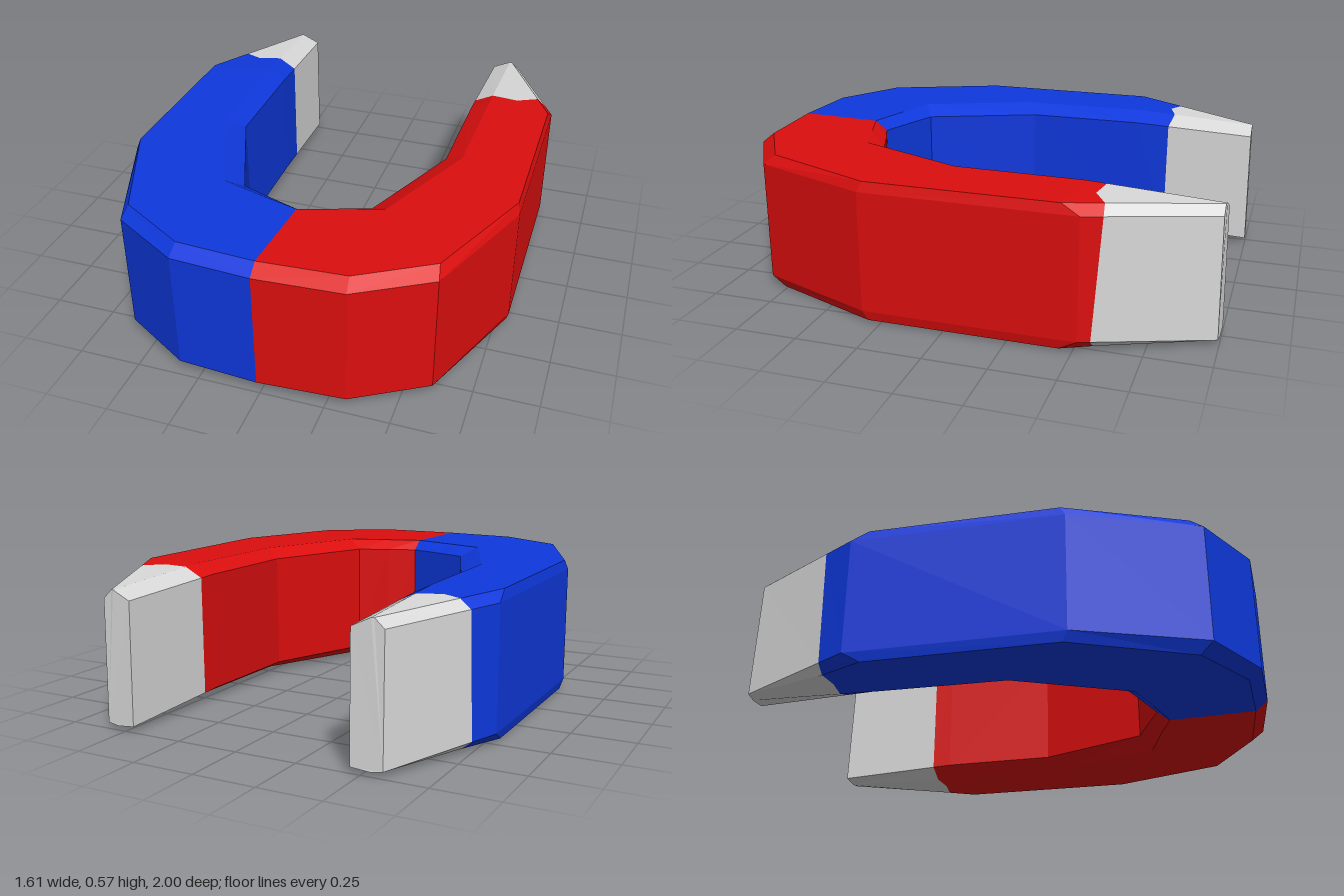
import * as THREE from 'three';

const red = new THREE.MeshStandardMaterial({ color: 0xdc0e0e, flatShading: true, name: 'red paint' });
const blue = new THREE.MeshStandardMaterial({ color: 0x0e38dc, flatShading: true, name: 'blue paint' });
const steel = new THREE.MeshStandardMaterial({ color: 0xd8d8d8, flatShading: true, name: 'bare steel' });

// Bevelled section of the bar, running outer wall, top, inner wall, bottom.
// Each rail is [x, z]: o outer wall, t outer rim, u inner rim, i inner wall.
function section(o, t, u, i, { low = 0.05, high = 0.53, top = 0.57, bottom = 0.01, backSlant = 0 } = {}) {
  const p = ([x, z], y, dz = 0) => new THREE.Vector3(x, y, z + dz);
  const mid = [(t[0] + u[0]) / 2, (t[1] + u[1]) / 2];
  return [
    p(o, low, -backSlant), p(o, high), p(t, top), p(mid, top), p(u, top),
    p(i, high), p(i, low, -backSlant), p(u, bottom, -backSlant),
    p(mid, bottom, -backSlant), p(t, bottom, -backSlant),
  ];
}

// Skin a row of sections; side = -1 mirrors it to the other half
function loft(rings, side, capEnd) {
  const pos = [];
  const tri = (a, b, c) => {
    for (const v of side > 0 ? [a, b, c] : [a, c, b]) pos.push(v.x * side, v.y, v.z);
  };
  for (let k = 0; k < rings.length - 1; k++) {
    const A = rings[k], B = rings[k + 1];
    for (let j = 0; j < A.length; j++) {
      const n = (j + 1) % A.length;
      tri(A[j], B[j], B[n]);
      tri(A[j], B[n], A[n]);
    }
  }
  if (capEnd) {
    const E = rings[rings.length - 1];
    for (let j = 1; j < E.length - 1; j++) tri(E[0], E[j + 1], E[j]);
  }
  const geo = new THREE.BufferGeometry();
  geo.setAttribute('position', new THREE.Float32BufferAttribute(pos, 3));
  geo.computeVertexNormals();
  return geo;
}

// Half of the horseshoe; cuts holds the z of the paint edge on each rail
function buildHalf(side, paint, cuts, name) {
  const s = 0.012 * side;
  const bend = [
    section([-s, 1.0], [-s, 0.95], [s, 0.6], [s, 0.55]),
    section([0.33, 0.98], [0.325, 0.93], [0.165, 0.548], [0.13, 0.5]),
    section([0.61, 0.815], [0.6, 0.765], [0.33, 0.495], [0.262, 0.45], { bottom: 0.002 }),
    section([0.803, 0.32], [0.793, 0.3], [0.52, 0.04], [0.445, 0]),
  ];
  const leg = section([0.803, -0.52], [0.793, -0.45], [0.53, -0.48], [0.45, -0.48]);
  const tip = section([0.583, -0.985], [0.545, -0.985], [0.535, -0.988], [0.46, -0.99],
    { low: 0.025, high: 0.505, top: 0.54, bottom: 0.018, backSlant: 0.01 });
  // Wavy paint edge lying on the taper
  const edge = leg.map((p, j) => p.clone().lerp(tip[j], (cuts[j] - p.z) / (tip[j].z - p.z)));

  const half = new THREE.Group();
  half.name = name;
  const arm = new THREE.Mesh(loft([...bend, leg, edge], side, false), paint);
  arm.name = 'paintedArm';
  const pole = new THREE.Mesh(loft([edge, tip], side, true), steel);
  pole.name = 'steelPole';
  half.add(arm, pole);
  return half;
}

export function createModel() {
  const magnet = new THREE.Group();
  magnet.name = 'horseshoeMagnet';
  magnet.add(
    buildHalf(1, red, [-0.565, -0.595, -0.59, -0.54, -0.555, -0.56, -0.56, -0.56, -0.55, -0.565], 'leftHalf'),
    buildHalf(-1, blue, [-0.63, -0.645, -0.645, -0.61, -0.64, -0.625, -0.625, -0.63, -0.62, -0.63], 'rightHalf'),
  );
  return magnet;
}
